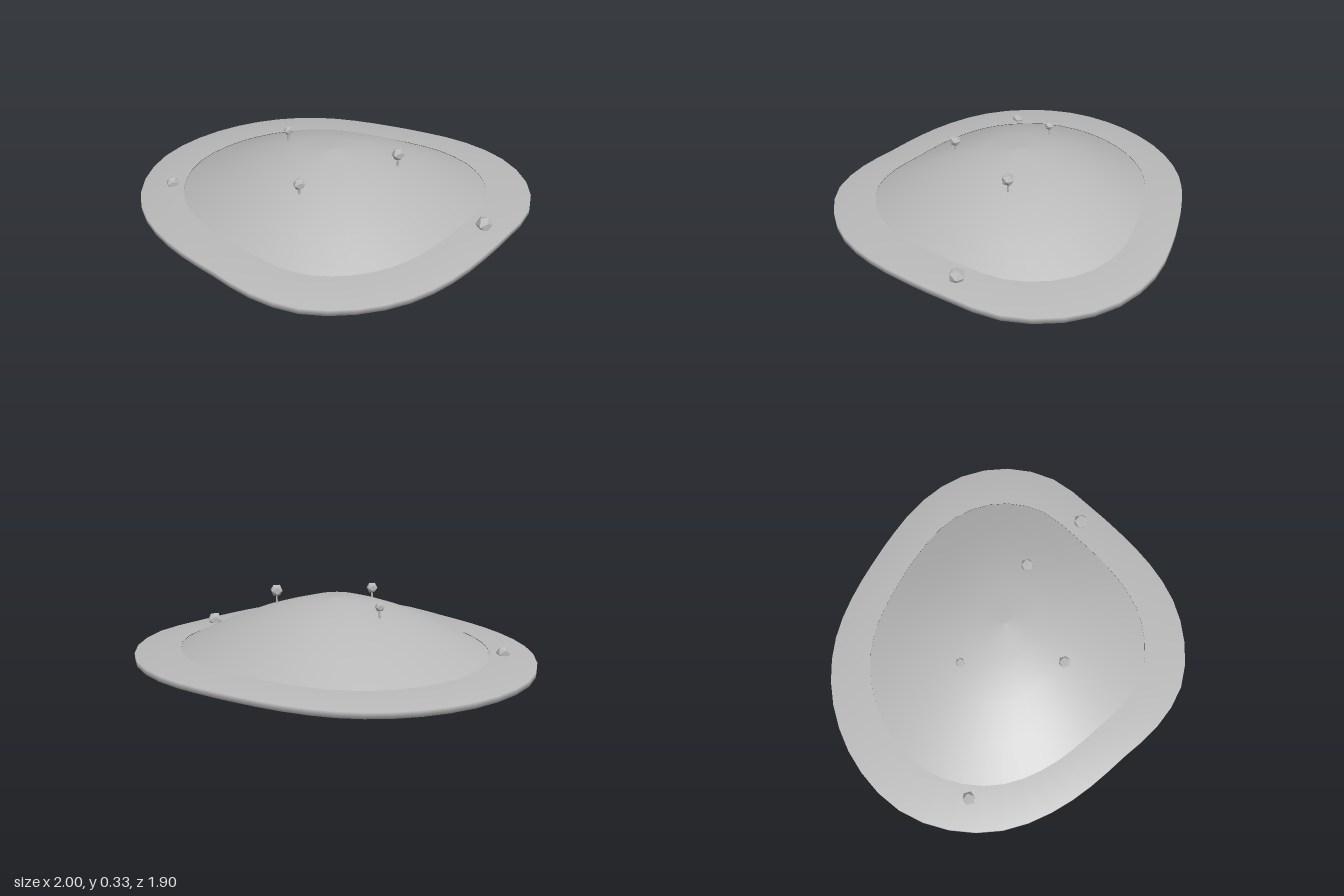
import * as THREE from 'three';

// Island outline: distance from the centre every 15 degrees, from +z round to +x
const RADII = [
  0.941, 0.914, 0.904, 0.936, 1.016, 1.048, 1.027, 0.963, 0.893, 0.861, 0.872, 0.909,
  0.947, 0.984, 1.019, 1.043, 1.032, 0.995, 0.936, 0.888, 0.872, 0.914, 0.957, 0.957,
];
const CENTRE_X = -0.04;
const SEGMENTS = 48;

// Smooth periodic radius at turn t (0..1)
function outline(t) {
  const n = RADII.length, f = t * n, i = Math.floor(f), k = f - i;
  const [a, b, c, d] = [-1, 0, 1, 2].map((o) => RADII[(i + o + n) % n]);
  return b + 0.5 * k * (c - a + k * (2 * a - 5 * b + 4 * c - d + k * (3 * (b - c) + d - a)));
}

// Lathe whose rings are stretched to follow the island outline
function islandLathe(profile) {
  const points = profile.map(([r, y]) => new THREE.Vector2(r, y));
  const geometry = new THREE.LatheGeometry(points, SEGMENTS);
  const pos = geometry.attributes.position;
  for (let i = 0; i < pos.count; i++) {
    const s = outline(Math.floor(i / points.length) / SEGMENTS);
    pos.setXYZ(i, CENTRE_X + pos.getX(i) * s, pos.getY(i), pos.getZ(i) * s);
  }
  return geometry;
}

export function createModel() {
  const island = new THREE.Group();
  island.name = 'island';
  const grey = new THREE.MeshStandardMaterial({ color: 0xb8b8b8 });
  grey.name = 'stone grey';

  const add = (parent, name, geometry, x = 0, y = 0, z = 0) => {
    const mesh = new THREE.Mesh(geometry, grey);
    mesh.name = name;
    mesh.position.set(x, y, z);
    parent.add(mesh);
    return mesh;
  };

  // Flat shore with a thin rim and closed underside
  add(island, 'beach', islandLathe([[0, 0], [1, 0], [1, 0.03], [0.775, 0.048]]));

  // Rounded hill
  const hill = [1, 0.75, 0.5, 0.25, 0].map((r) => [
    r * 0.775, 0.046 + 0.25 * Math.cos((r * Math.PI) / 2),
  ]);
  add(island, 'hill', islandLathe(hill));

  // Trees: x, z, ground height, crown height, crown radius
  const trees = [
    [-0.305, 0.235, 0.215, 0.274, 0.031],
    [-0.19, -0.27, 0.24, 0.302, 0.025],
    [0.24, 0.185, 0.235, 0.304, 0.034],
  ];
  for (const [x, z, ground, top, r] of trees) {
    const tree = new THREE.Group();
    tree.name = 'tree';
    tree.position.set(x, 0, z);
    const height = top - ground;
    add(tree, 'trunk', new THREE.CylinderGeometry(0.004, 0.006, height, 6), 0, ground + height / 2);
    add(tree, 'crown', new THREE.IcosahedronGeometry(r, 0), 0, top);
    island.add(tree);
  }

  // Boulders half sunk in the shore
  add(island, 'boulder', new THREE.IcosahedronGeometry(0.042, 0), 0.53, 0.055, 0.58);
  add(island, 'boulder', new THREE.IcosahedronGeometry(0.035, 0), -0.81, 0.051, -0.385);

  return island;
}
